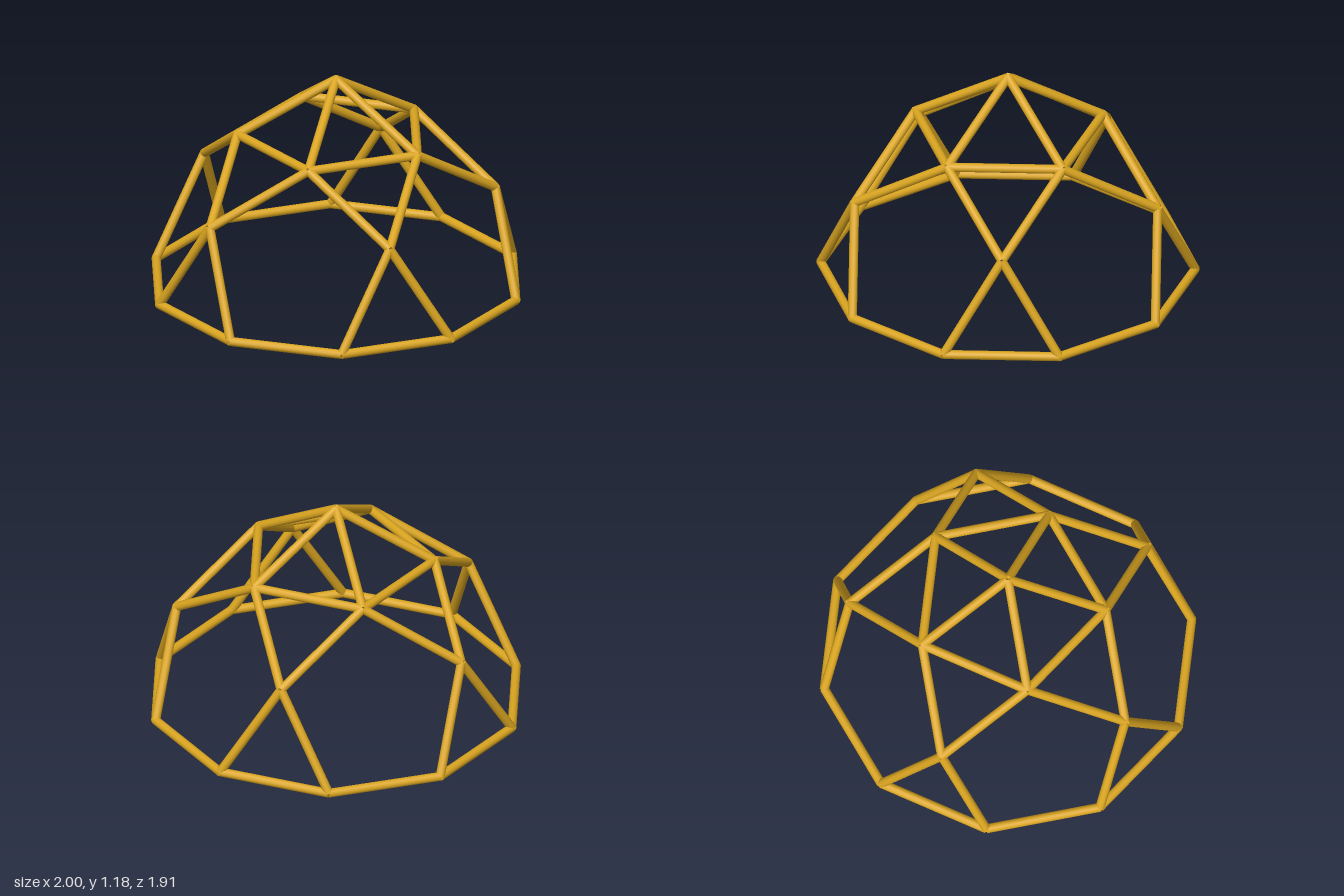
import * as THREE from 'three';

const TUBE = 0.024;   // strut radius
const R = 0.977;      // dome radius
const BASE = 0.026;   // height of the ground ring

export function createModel() {
  const dome = new THREE.Group();
  dome.name = 'geodesicDome';
  const material = new THREE.MeshStandardMaterial({ color: 0xdaa520 });

  // Ring of evenly spaced joints; angle 90 degrees points to the front
  const ring = (count, radius, y, startDeg) =>
    Array.from({ length: count }, (_, i) => {
      const a = THREE.MathUtils.degToRad(startDeg + (i * 360) / count);
      return new THREE.Vector3(radius * Math.cos(a), y, radius * Math.sin(a));
    });

  const base = ring(10, R, BASE, 72);
  const middle = ring(5, R * 0.8507, BASE + R * 0.5257, 90);
  const upper = ring(5, R * 0.5257, BASE + R * 0.8507, 126);
  const apex = new THREE.Vector3(0, 1.163, 0);

  // Straight round strut between two joints
  const up = new THREE.Vector3(0, 1, 0);
  const strut = (parent, a, b) => {
    const dir = b.clone().sub(a);
    const mesh = new THREE.Mesh(new THREE.CylinderGeometry(TUBE, TUBE, dir.length(), 12), material);
    mesh.name = parent.name + 'Strut';
    mesh.position.copy(a).add(b).multiplyScalar(0.5);
    mesh.quaternion.setFromUnitVectors(up, dir.normalize());
    parent.add(mesh);
  };
  const part = (name) => {
    const g = new THREE.Group();
    g.name = name;
    dome.add(g);
    return g;
  };

  const groundRing = part('groundRing');
  const lowerLegs = part('lowerLegs');
  const upperBraces = part('upperBraces');
  const crownRing = part('crownRing');
  const roofSpokes = part('roofSpokes');

  base.forEach((p, i) => strut(groundRing, p, base[(i + 1) % 10]));
  for (let i = 0; i < 5; i++) {
    // Each middle joint stands on two base joints and carries two crown joints
    strut(lowerLegs, base[2 * i], middle[i]);
    strut(lowerLegs, base[2 * i + 1], middle[i]);
    strut(upperBraces, middle[i], upper[i]);
    strut(upperBraces, middle[i], upper[(i + 4) % 5]);
    // Crown pentagon and the spokes up to the peak
    strut(crownRing, upper[i], upper[(i + 1) % 5]);
    strut(roofSpokes, upper[i], apex);
  }
  return dome;
}
